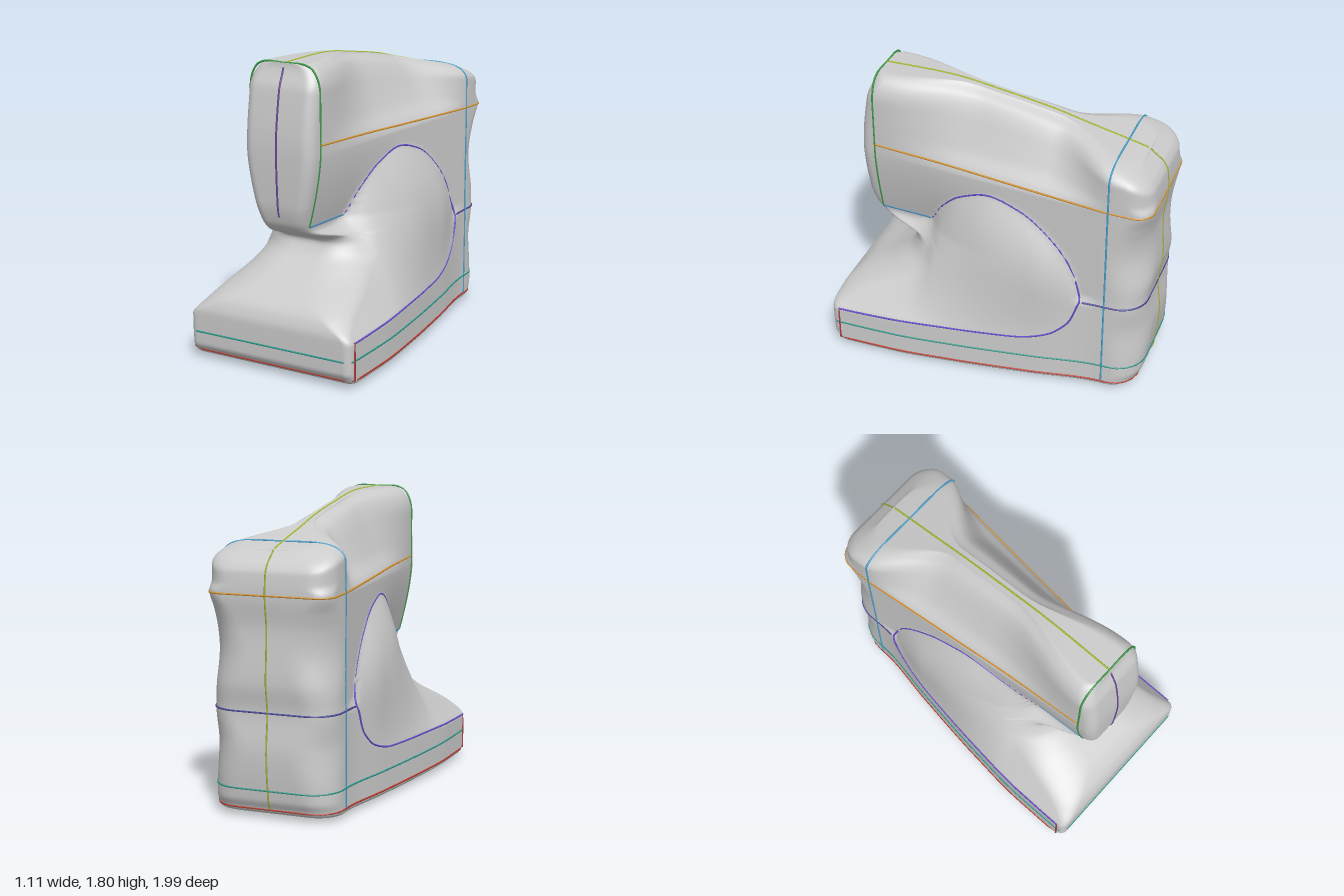
import * as THREE from 'three';

const clamp = THREE.MathUtils.clamp, lerp = THREE.MathUtils.lerp, smooth = THREE.MathUtils.smoothstep;

// Monotone smooth curve through [position, value] pairs.
function curve(p) {
  const s = (i) => (p[i + 1][1] - p[i][1]) / (p[i + 1][0] - p[i][0]);
  const m = p.map((_, i) => {
    if (i === 0 || i === p.length - 1) return 0;
    const a = s(i - 1), b = s(i);
    return a * b <= 0 ? 0 : (2 * a * b) / (a + b);
  });
  return (x) => {
    if (x <= p[0][0]) return p[0][1];
    if (x >= p[p.length - 1][0]) return p[p.length - 1][1];
    let i = 0;
    while (x > p[i + 1][0]) i++;
    const h = p[i + 1][0] - p[i][0], t = (x - p[i][0]) / h, t2 = t * t, t3 = t2 * t;
    return (2 * t3 - 3 * t2 + 1) * p[i][1] + (t3 - 2 * t2 + t) * h * m[i]
      + (3 * t2 - 2 * t3) * p[i + 1][1] + (t3 - t2) * h * m[i + 1];
  };
}

// Levels run up to SHOULDER as plain heights; the next unit spans shoulder to sloping top.
const SHOULDER = 1.3;
const frontZ = curve([[0.05, 0.95], [0.1, 0.98], [0.3, 0.985], [0.38, 0.96], [0.45, 0.89], [0.55, 0.71], [0.65, 0.58],
  [0.71, 0.55], [0.75, 0.59], [0.78, 0.7], [0.82, 0.79], [0.88, 0.835], [1.0, 0.86], [1.3, 0.87], [2.0, 0.83], [2.3, 0.78]]);
const backZ = curve([[0.05, -0.94], [0.12, -0.97], [0.4, -0.995], [0.63, -0.975], [0.8, -0.995], [1.1, -0.98], [1.3, -1],
  [1.9, -0.99], [2.15, -0.96], [2.3, -0.88]]);
const frontRadius = curve([[0.3, 0.05], [0.38, 0.13], [0.5, 0.25], [0.62, 0.22], [0.71, 0.15], [0.78, 0.12], [0.84, 0.07]]);
const backRadius = curve([[0.05, 0.16], [0.2, 0.19], [0.42, 0.24], [0.63, 0.17], [0.95, 0.25], [1.2, 0.17], [1.32, 0.1], [1.6, 0.15], [2.3, 0.13]]);
const topY = curve([[-1, 1.5], [-0.88, 1.545], [-0.75, 1.58], [-0.5, 1.64], [-0.3, 1.69], [0, 1.745], [0.35, 1.795], [0.5, 1.8]]);
const baseW = curve([[-0.75, 0.385], [-0.3, 0.45], [0.2, 0.515], [0.6, 0.548], [0.9, 0.55]]);
const archTop = curve([[-0.6, 0.64], [-0.55, 0.81], [-0.4, 1.01], [-0.2, 1.15], [0, 1.2], [0.2, 1.13], [0.35, 0.99], [0.43, 0.86], [0.55, 0.82]]);
const archLow = curve([[-0.6, 0.62], [-0.55, 0.49], [-0.4, 0.36], [-0.2, 0.315], [0.4, 0.3], [0.93, 0.285]]);
// Width factors from shoulder to top: waisted flanks under a narrow ridge
const armShape = curve([[0, 1], [0.25, 0.77], [0.5, 0.6], [0.75, 0.44], [0.9, 0.3], [1, 0.1]]);

const heightAt = (v, z) => (v <= SHOULDER ? v : lerp(SHOULDER, topY(z), v - SHOULDER));

// Half width of the body at a level and depth.
function halfWidth(v, z) {
  const head = lerp(0.383, 0.23, clamp((z + 0.75) / 1.55, 0, 1));
  if (v > SHOULDER) {
    const t = v - SHOULDER, q = clamp((t - 0.68) / 0.32, 0, 1);
    const round = 1 - 0.45 * (1 - Math.sqrt(1 - q * q));
    const mix = (1 - smooth(z, 0.1, 0.78)) * smooth(z, -0.78, -0.35);
    return head * lerp(round, armShape(t), mix);
  }
  const taper = 1 - 0.35 * Math.pow(clamp((SHOULDER - v) / 0.45, 0, 1), 1.5) * smooth(z, -0.2, 0.5);
  const lo = archLow(z), hi = archTop(z);
  const t = clamp((v - lo) / Math.max(hi - lo, 0.05), 0, 1);
  const bulge = lerp(0.055, 0.02, smooth(z, -0.1, 0.5)) * Math.sin(Math.PI * Math.pow(t, 1.5)) * smooth(z, -0.65, -0.3);
  return lerp(baseW(z), head * taper, t) + bulge;
}

// Half cross-section from the back centre round +x to the front centre.
function halfRing(v) {
  const zb = backZ(v), zf = frontZ(v), rf = frontRadius(v), rb = backRadius(v), pts = [];
  const add = (x, z) => pts.push(new THREE.Vector3(x, heightAt(v, z), z));
  const corner = (z, r) => Math.min(r, halfWidth(v, z) * 0.85);
  const xb = halfWidth(v, zb) - corner(zb, rb), xf = halfWidth(v, zf) - corner(zf, rf);
  for (let i = 0; i < 6; i++) add((xb * i) / 6, zb);
  for (let i = 0; i < 9; i++) {
    const a = (i / 9) * Math.PI / 2, z = zb + rb * (1 - Math.cos(a));
    add(halfWidth(v, z) - corner(z, rb) * (1 - Math.sin(a)), z);
  }
  for (let i = 0; i < 44; i++) {
    const z = lerp(zb + rb, zf - rf, i / 44);
    add(halfWidth(v, z), z);
  }
  for (let i = 0; i < 9; i++) {
    const a = (i / 9) * Math.PI / 2, z = zf - rf * (1 - Math.sin(a));
    add(halfWidth(v, z) - corner(z, rf) * (1 - Math.cos(a)), z);
  }
  for (let i = 6; i >= 0; i--) add((xf * i) / 6, zf);
  return pts;
}

const mirror = (pts) => pts.map((p) => new THREE.Vector3(-p.x, p.y, p.z));
const fullRing = (v) => {
  const half = halfRing(v);
  return half.concat(mirror(half.slice(1, -1)).reverse());
};

function bodyGeometry() {
  const rings = [];
  // Underside, slightly raised along the middle
  for (const [s, y] of [[0, 0.05], [0.3, 0.035], [0.6, 0.01], [0.8, 0.005], [0.93, 0.02], [0.985, 0.038]])
    rings.push(fullRing(0.05).map((p) => new THREE.Vector3(p.x * s, y, p.z * s)));
  for (let i = 0; i <= 80; i++) rings.push(fullRing(lerp(0.05, SHOULDER, i / 80)));
  for (let i = 1; i <= 28; i++) rings.push(fullRing(SHOULDER + 1 - (1 - i / 28) ** 2));
  // Close the top along its ridge
  const last = rings[rings.length - 1];
  for (const s of [0.6, 0.25, 0]) rings.push(last.map((p) => new THREE.Vector3(p.x * s, p.y, p.z)));

  const n = last.length, index = [];
  for (let j = 0; j < rings.length - 1; j++)
    for (let i = 0; i < n; i++) {
      const a = j * n + i, b = j * n + ((i + 1) % n);
      index.push(a, a + n, b, b, a + n, b + n);
    }
  const geo = new THREE.BufferGeometry().setFromPoints(rings.flat());
  geo.setIndex(index);
  geo.computeVertexNormals();
  return geo;
}

export function createModel() {
  const group = new THREE.Group();
  const body = new THREE.Mesh(bodyGeometry(), new THREE.MeshStandardMaterial({ color: 0xcccccc }));
  body.name = 'body';
  group.add(body);

  // Thin coloured contour lines lying on the surface
  function line(name, color, pts, closed = false) {
    const path = new THREE.CatmullRomCurve3(pts, closed, 'centripetal');
    const mesh = new THREE.Mesh(new THREE.TubeGeometry(path, 90, 0.006, 5, closed), new THREE.MeshStandardMaterial({ color }));
    mesh.name = name;
    group.add(mesh);
  }
  const pair = (name, color, pts) => {
    line(name + 'Left', color, pts);
    line(name + 'Right', color, mirror(pts));
  };
  const range = (a, b, n, f) => Array.from({ length: n + 1 }, (_, i) => f(lerp(a, b, i / n)));
  const onSide = (v, z) => new THREE.Vector3(halfWidth(v, z), heightAt(v, z), z);
  const centre = (y, z) => new THREE.Vector3(0, y, z);

  // Arch outline on each side, with the link round the back
  const arch = [...range(0.93, -0.59, 30, (z) => onSide(archLow(z), z)), ...range(-0.6, 0.43, 30, (z) => onSide(archTop(z), z))];
  pair('archLine', 0x6a4fd0, arch);
  pair('backWaistLine', 0x4a4a9c, halfRing(0.63).filter((p) => p.z < -0.6));
  // Base bands
  line('baseBand', 0x2a9d8f, fullRing(0.18), true);
  line('bottomEdge', 0xc0392b, fullRing(0.06), true);
  // Shoulder lines running round the back
  const shoulder = range(-0.85, 0.78, 30, (z) => onSide(SHOULDER + 0.1 * (z + 1) / 1.8, z));
  pair('shoulderLine', 0xd9962e, [...halfRing(SHOULDER).filter((p) => p.z < -0.88), ...shoulder]);
  // Rear uprights and front face outline, meeting over the top
  pair('rearUpright', 0x4aa3d0, [...range(0.06, 2.3, 40, (v) => onSide(v, -0.75)), centre(topY(-0.75), -0.75)]);
  pair('faceOutline', 0x3f9d4a, [...range(0.86, 2.3, 40, (v) => onSide(v, 0.77)), centre(topY(0.77), 0.77)]);
  pair('headLowerEdge', 0x4a90c0, range(0.43, 0.77, 8, (z) => onSide(0.86, z)));
  pair('baseFrontCorner', 0xb04040, range(0.06, 0.29, 4, (v) => onSide(v, 0.93)));
  // Centre lines
  line('ridgeLine', 0xa8c030, range(-0.87, 0.77, 30, (z) => centre(topY(z), z)));
  line('backCentreLine', 0xa8b040, range(0.06, 2.3, 40, (v) => centre(heightAt(v, backZ(v)), backZ(v))));
  line('faceCentreLine', 0x6a4a9c, range(0.92, 2.25, 20, (v) => centre(heightAt(v, frontZ(v)), frontZ(v))));
  return group;
}
